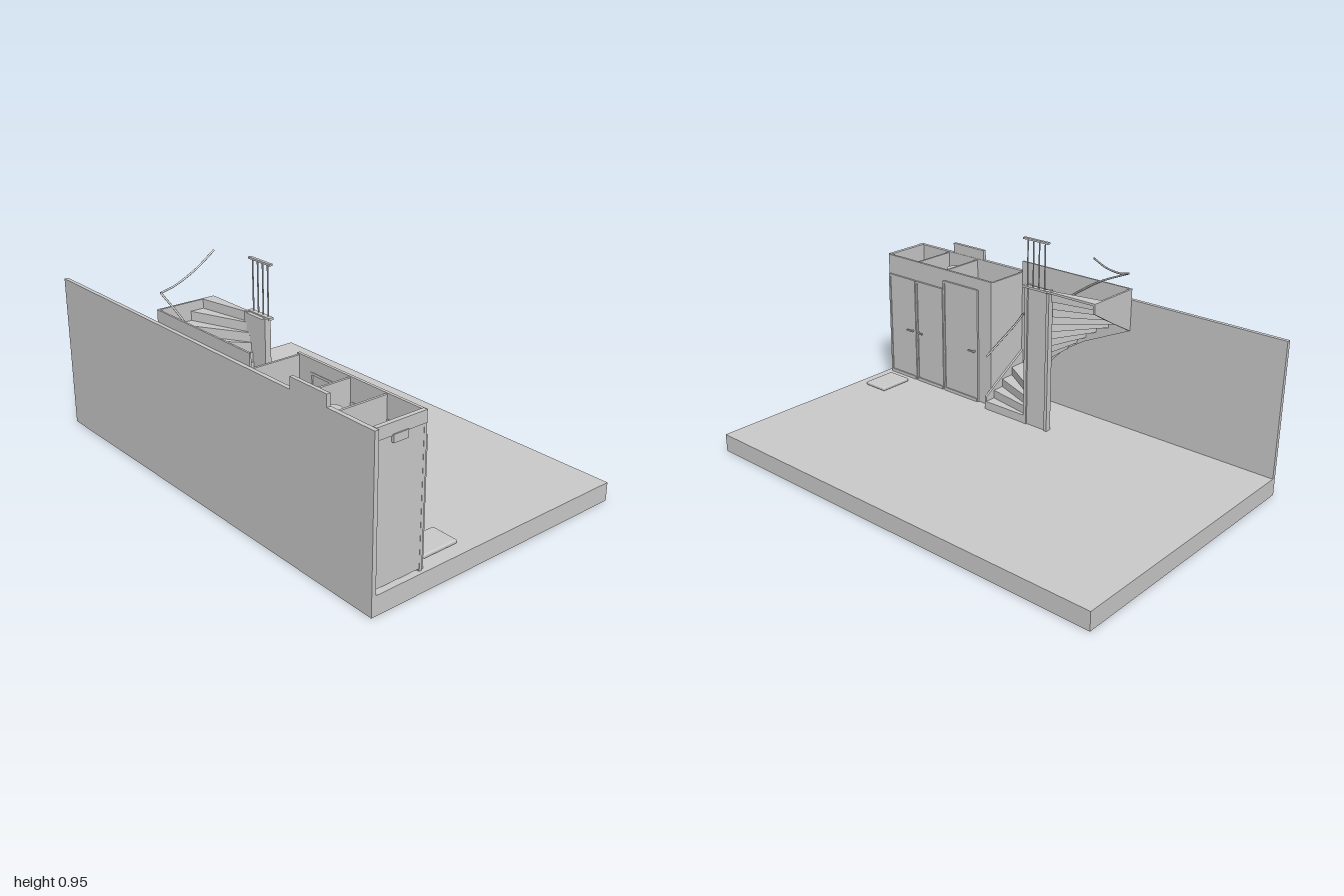
import * as THREE from 'three';
import { RoundedBoxGeometry } from 'three/addons/geometries/RoundedBoxGeometry.js';

const grey = new THREE.MeshStandardMaterial({ color: 0xcccccc, side: THREE.DoubleSide });

function add(parent, name, geometry) {
  const mesh = new THREE.Mesh(geometry, grey);
  mesh.name = name;
  parent.add(mesh);
  return mesh;
}

function group(parent, name) {
  const g = new THREE.Group();
  g.name = name;
  parent.add(g);
  return g;
}

// box given by its limits on each axis
function box(parent, name, [x0, x1], [y0, y1], [z0, z1], radius = 0) {
  const size = [x1 - x0, y1 - y0, z1 - z0];
  const geo = radius ? new RoundedBoxGeometry(...size, 2, radius) : new THREE.BoxGeometry(...size);
  geo.translate((x0 + x1) / 2, (y0 + y1) / 2, (z0 + z1) / 2);
  return add(parent, name, geo);
}

function rod(parent, name, x, z, y0, y1, r, r2 = r, sides = 12) {
  return add(parent, name, new THREE.CylinderGeometry(r2, r, y1 - y0, sides).translate(x, (y0 + y1) / 2, z));
}

const FLOOR = 0.08, TOP = 0.73, CX = -0.34, CZ = 0.03;

// point where a ray from the newel meets a half rectangle; angle 0 is +z, PI is -z
function rayPoint(angle, depth, half) {
  const s = Math.max(Math.sin(angle), 1e-6), c = Math.cos(angle);
  const t = Math.min(depth / s, half / Math.max(Math.abs(c), 1e-6));
  return new THREE.Vector2(CX - s * t, CZ + c * t);
}

function buildStairs(parent) {
  const stairs = group(parent, 'staircase');
  const steps = 17, rise = (TOP - FLOOR) / steps;
  const outerD = 0.255, outerH = 0.293, innerD = 0.02, innerH = 0.066;
  const corner = Math.atan2(outerD, outerH);
  const corners = [corner, Math.PI - corner];

  for (let i = 0; i < steps; i++) {
    const a = (i / steps) * Math.PI, b = ((i + 1) / steps) * Math.PI;
    const y = FLOOR + (i + 1) * rise;
    const outer = [a, ...corners.filter((k) => k > a && k < b), b].map((k) => rayPoint(k, outerD, outerH));
    const inner = [b, a].map((k) => rayPoint(k, innerD, innerH));
    // winder tread
    const tread = new THREE.ExtrudeGeometry(new THREE.Shape([...outer, ...inner]), { depth: 0.01, bevelEnabled: false });
    add(stairs, 'tread', tread.rotateX(Math.PI / 2).translate(0, y, 0));
    // riser under the front edge of the tread
    const p = outer[0], q = inner[1];
    const riser = new THREE.BoxGeometry(p.distanceTo(q), rise, 0.005);
    riser.rotateY(-Math.atan2(p.y - q.y, p.x - q.x));
    add(stairs, 'riser', riser.translate((p.x + q.x) / 2, y - rise / 2, (p.y + q.y) / 2));
  }

  // panel beside the wall: outline in (z, y)
  const side = new THREE.Shape([[0.33, 0.2], [0.33, TOP], [-0.27, TOP], [-0.27, 0.54], [-0.03, 0.43], [0.1, 0.35]]
    .map(([z, y]) => new THREE.Vector2(-z, y)));
  add(stairs, 'wallString', new THREE.ExtrudeGeometry(side, { depth: 0.008, bevelEnabled: false })
    .rotateY(Math.PI / 2).translate(-0.605, 0, 0));
  // strings closing the upper and lower flights: outlines in (x, y)
  const ends = [
    ['upperString', -0.272, [[-0.6, 0.54], [-0.48, 0.605], [CX, 0.685], [CX, TOP], [-0.6, TOP]]],
    ['lowerString', 0.322, [[-0.6, FLOOR], [CX, FLOOR], [CX, 0.14], [-0.6, 0.3]]],
  ];
  for (const [name, z, pts] of ends) {
    const shape = new THREE.Shape(pts.map((p) => new THREE.Vector2(...p)));
    add(stairs, name, new THREE.ExtrudeGeometry(shape, { depth: 0.01, bevelEnabled: false }).translate(0, 0, z));
  }

  // hollow newel: a front board with two cheeks
  box(stairs, 'newelBoard', [-0.362, -0.342], [FLOOR, TOP], [-0.035, 0.098]);
  for (const z of [-0.035, 0.083]) box(stairs, 'newelCheek', [-0.362, -0.335], [FLOOR, TOP + 0.004], [z, z + 0.015]);

  // balustrade on the newel
  const balustrade = group(stairs, 'balustrade');
  box(balustrade, 'balustradeBase', [-0.345, -0.323], [0.725, 0.735], [-0.035, 0.1]);
  box(balustrade, 'balustradeRail', [-0.337, -0.323], [0.938, 0.946], [-0.035, 0.1]);
  for (const z of [-0.015, 0.016, 0.047, 0.078]) rod(balustrade, 'baluster', -0.33, z, TOP, 0.94, 0.003);

  // handrail following three sides of the stairwell
  const sections = [
    [[CX, 0.34, 0.322], [-0.45, 0.395, 0.322], [-0.55, 0.445, 0.322], [-0.592, 0.475, 0.322]],
    [[-0.592, 0.475, 0.322], [-0.592, 0.525, 0.23], [-0.592, 0.59, 0.1], [-0.592, 0.66, 0.0], [-0.592, 0.73, -0.11], [-0.592, 0.798, -0.258]],
    [[-0.592, 0.798, -0.258], [-0.53, 0.813, -0.258], [-0.43, 0.86, -0.258], [CX, 0.922, -0.258]],
  ];
  for (const pts of sections) {
    const curve = new THREE.CatmullRomCurve3(pts.map((p) => new THREE.Vector3(...p)));
    add(stairs, 'handrail', new THREE.TubeGeometry(curve, 24, 0.004, 8));
  }
}

function buildClosets(parent) {
  const closets = group(parent, 'closets');
  const wallX = [-0.392, -0.38], inside = [-0.605, -0.38];

  // front wall pierced by the door openings: outline in (z, y)
  const doors = [
    { z: [0.81, 0.975], top: 0.58, handle: 0.82 },
    { z: [0.63, 0.795], top: 0.58, handle: 0.755 },
    { z: [0.41, 0.615], top: 0.622, handle: 0.42 },
  ];
  const rect = (Type, z0, z1, y0, y1) => new Type([[-z1, y0], [-z0, y0], [-z0, y1], [-z1, y1]]
    .map((p) => new THREE.Vector2(...p)));
  const wall = rect(THREE.Shape, 0.33, 0.985, FLOOR, 0.68);
  for (const d of doors) wall.holes.push(rect(THREE.Path, ...d.z, 0.095, d.top));
  add(closets, 'closetFront', new THREE.ExtrudeGeometry(wall, { depth: 0.012, bevelEnabled: false })
    .rotateY(Math.PI / 2).translate(wallX[0], 0, 0));

  for (const { z: [z0, z1], top, handle } of doors) {
    const door = group(closets, 'closetDoor');
    box(door, 'doorLeaf', [-0.388, -0.374], [0.095, top], [z0 + 0.003, z1 - 0.003]);
    for (const z of [z0, z1]) box(door, 'doorJamb', [-0.394, -0.37], [FLOOR, top + 0.005], [z - 0.005, z + 0.005]);
    box(door, 'doorHead', [-0.394, -0.37], [top - 0.003, top + 0.007], [z0, z1]);
    box(door, 'doorSill', [-0.394, -0.368], [FLOOR, 0.095], [z0, z1]);
    box(door, 'handle', [-0.364, -0.358], [0.327, 0.334], [handle, handle + 0.035]);
    const stem = z1 - handle < 0.06 ? handle + 0.03 : handle;
    box(door, 'handleStem', [-0.375, -0.36], [0.327, 0.334], [stem, stem + 0.006]);
  }

  // partitions and end wall
  for (const z of [0.333, 0.613, 0.798]) box(closets, 'partition', inside, [FLOOR, 0.675], [z, z + 0.01]);
  box(closets, 'endWall', inside, [0.09, 0.64], [0.972, 0.984]);
  box(closets, 'endBeam', [-0.605, -0.385], [0.635, 0.682], [0.972, 0.99]);
  box(closets, 'endLamp', [-0.535, -0.47], [0.61, 0.64], [0.98, 0.995]);

  // contents of the three closets
  box(closets, 'appliance', [-0.6, -0.402], [FLOOR, 0.42], [0.385, 0.607], 0.008);
  for (const z of [0.37, 0.37 + 0.006]) box(closets, 'wallBatten', [-0.6, -0.41], [0.5, 0.52], [z - 0.025, z - 0.015]);
  rod(closets, 'boiler', -0.535, 0.703, 0.12, 0.6, 0.066, 0.066, 32);
  rod(closets, 'boilerCap', -0.548, 0.703, 0.6, 0.63, 0.05, 0.042, 32);
  box(closets, 'closetShelf', [-0.462, -0.392], [0.4, 0.42], [0.623, 0.798]);
  box(closets, 'cabinet', [-0.6, -0.478], [FLOOR, 0.5], [0.812, 0.97], 0.005);
  box(closets, 'pipeCasing', [-0.475, -0.45], [FLOOR, 0.6], [0.945, 0.97]);
}

export function createModel() {
  const model = new THREE.Group();
  model.name = 'hallway';

  // slab, long wall and the raised piece on the wall
  box(model, 'floorSlab', [-0.622, 0.622], [0, FLOOR], [-1, 1]);
  box(model, 'longWall', [-0.622, -0.604], [FLOOR, 0.68], [-1, 1]);
  box(model, 'wallRaise', [-0.622, -0.606], [0.68, 0.727], [0.578, 0.77]);

  buildClosets(model);
  buildStairs(model);

  // low mat on the floor
  box(model, 'floorMat', [-0.327, -0.162], [FLOOR, 0.097], [0.82, 0.942], 0.006);
  return model;
}
